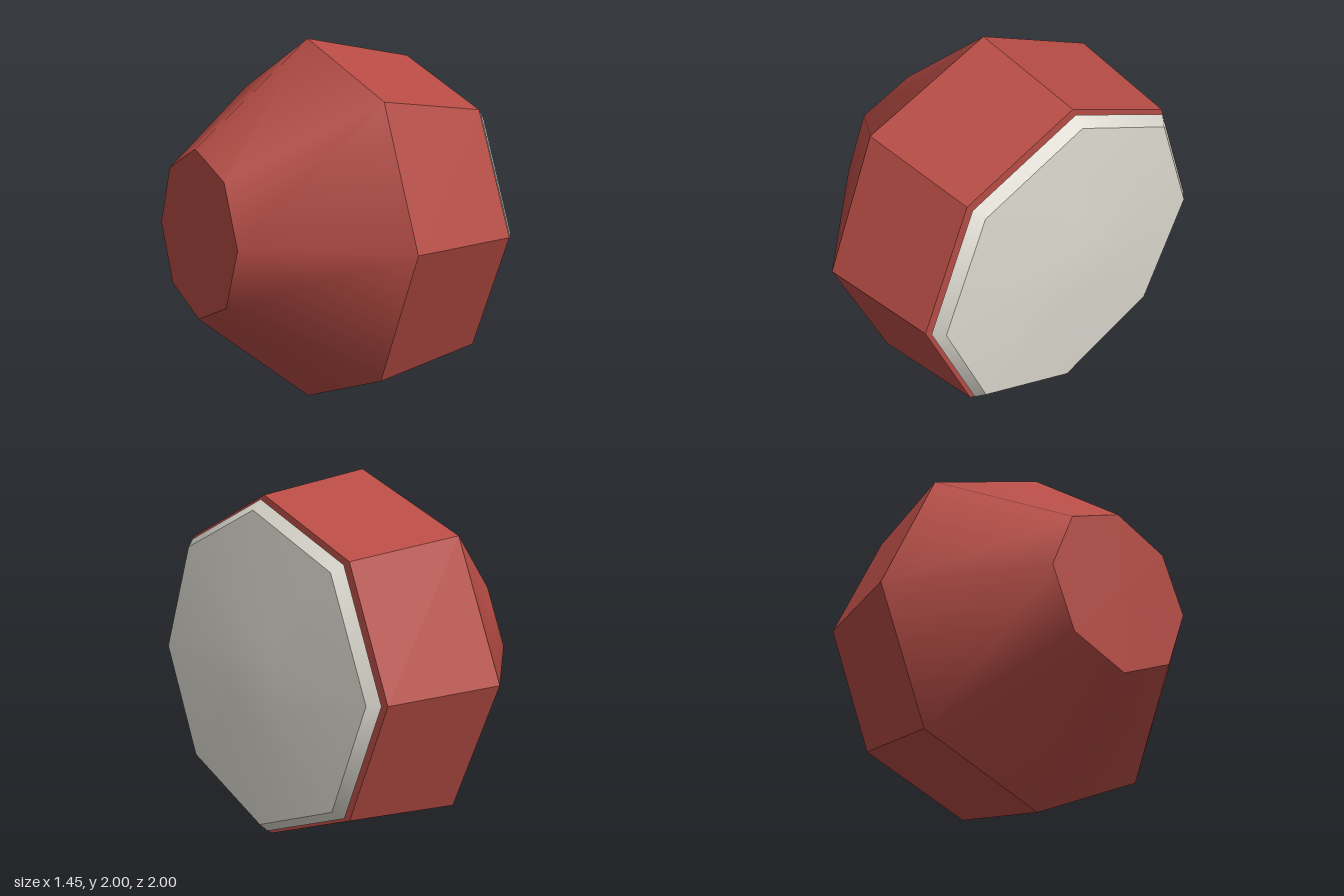
import * as THREE from 'three';

const SIDES = 8;

export function createModel() {
  const red = new THREE.MeshStandardMaterial({ color: 0xb54b44 });
  red.name = 'red housing';
  const glass = new THREE.MeshStandardMaterial({ color: 0xdad7cd });
  glass.name = 'pale lens';

  const lamp = new THREE.Group();
  lamp.name = 'lamp';

  // Adds an eight-sided band from a profile of [radius, position along the axis]
  function band(name, material, profile, faceted = false) {
    const points = profile.map(([r, a]) => new THREE.Vector2(r, a));
    let geometry = new THREE.LatheGeometry(points, SIDES);
    if (faceted) {
      geometry = geometry.toNonIndexed();
      geometry.computeVertexNormals();
    }
    const mesh = new THREE.Mesh(geometry, material);
    mesh.name = name;
    lamp.add(mesh);
  }

  // Housing: closed back, smooth taper, faceted rim and flat front
  band('housingBack', red, [[0, -0.725], [0.45, -0.725]]);
  band('housingTaper', red, [[0.45, -0.725], [1, -0.05]]);
  band('housingRim', red, [[1, -0.05], [0.9, 0.61]], true);
  band('housingFront', red, [[0.9, 0.61], [0, 0.61]]);

  // Lens: floats just ahead of the housing, with a bevel and a shallow dome
  band('lensBack', glass, [[0, 0.632], [0.88, 0.632]]);
  band('lensBevel', glass, [[0.88, 0.632], [0.83, 0.682]]);
  band('lensDome', glass, [[0.83, 0.682], [0.22, 0.722], [0, 0.722]]);

  // Lay the axis along x, with the lens toward +x
  lamp.rotation.z = -Math.PI / 2;
  lamp.position.y = 1;

  const model = new THREE.Group();
  model.name = 'model';
  model.add(lamp);
  return model;
}
